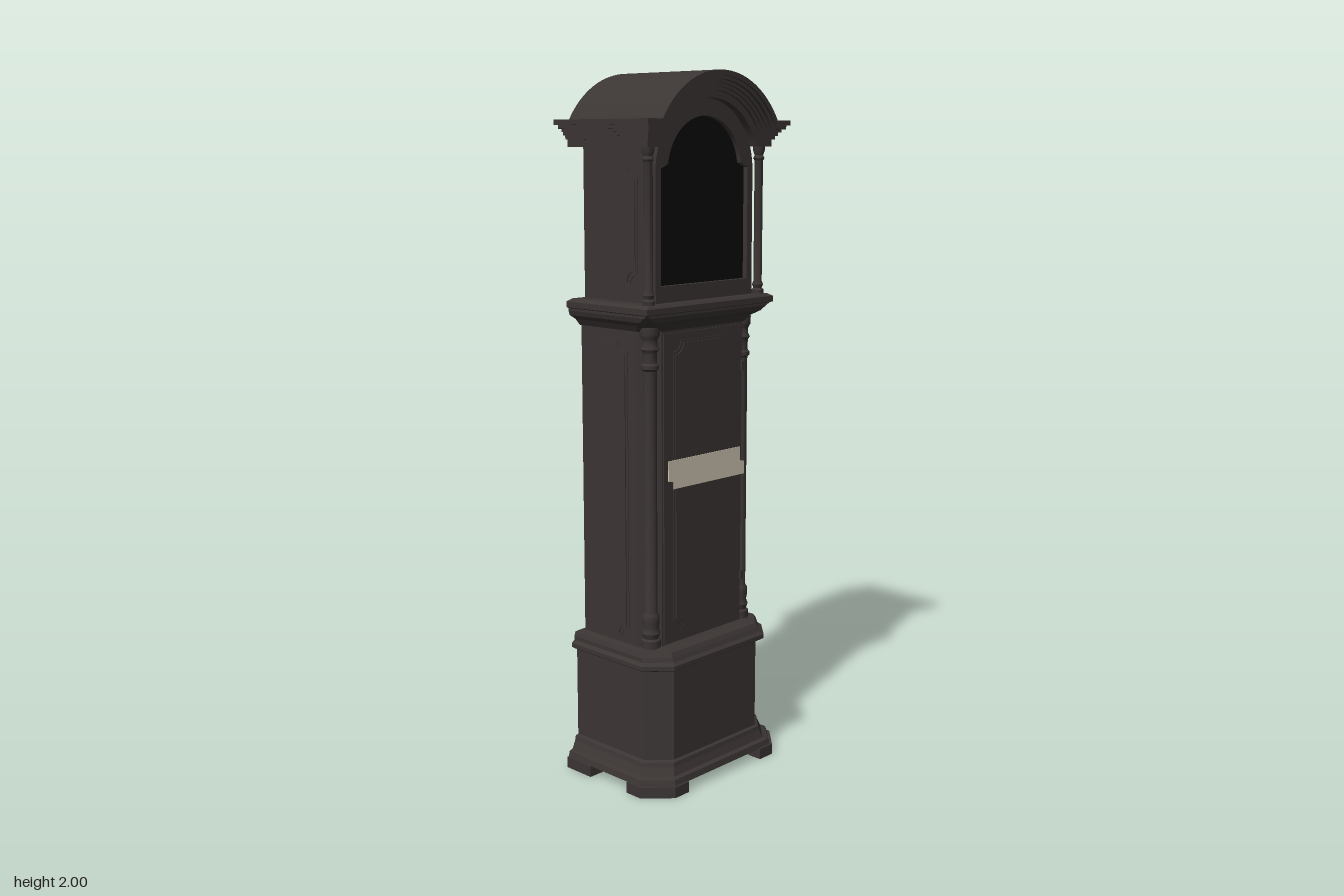
import * as THREE from 'three';
import { toCreasedNormals } from 'three/addons/utils/BufferGeometryUtils.js';

const wood = new THREE.MeshStandardMaterial({ color: 0x3b3534 });
wood.name = 'dark wood';
const glass = new THREE.MeshStandardMaterial({ color: 0x0a0a0a });
glass.name = 'black glass';
const paper = new THREE.MeshStandardMaterial({ color: 0xd2c8b6, side: THREE.DoubleSide });
paper.name = 'cream paper';

const ARCH_Y = 1.733; // centre of every hood arch

export function createModel() {
  const clock = new THREE.Group();
  clock.name = 'longcaseClock';

  function add(name, geo, mat = wood, parent = clock) {
    const mesh = new THREE.Mesh(geo, mat);
    mesh.name = name;
    parent.add(mesh);
    return mesh;
  }
  function box(name, x, y, z, w, h, d) {
    return add(name, new THREE.BoxGeometry(w, h, d).translate(x, y, z));
  }
  const shapeOf = (pts) => new THREE.Shape(pts.map((p) => new THREE.Vector2(p[0], p[1])));
  function extrude(shape, z0, z1) {
    const g = new THREE.ExtrudeGeometry(shape, { depth: z1 - z0, bevelEnabled: false, curveSegments: 12 });
    return toCreasedNormals(g.translate(0, 0, z0), 0.5);
  }

  // Stacked plans with cut front corners: [y, halfWidth, front, back, cornerCut]
  function loft(name, rings) {
    const pos = [];
    const plan = rings.map(([y, w, f, b, c]) => [
      [-w + c, y, f], [w - c, y, f], [w, y, f - c], [w, y, b], [-w, y, b], [-w, y, f - c]]);
    for (let r = 0; r < plan.length - 1; r++) {
      for (let i = 0; i < 6; i++) {
        const j = (i + 1) % 6;
        const [a, b, c, d] = [plan[r][i], plan[r][j], plan[r + 1][j], plan[r + 1][i]];
        pos.push(...a, ...b, ...c, ...a, ...c, ...d);
      }
    }
    const top = plan[plan.length - 1], bot = plan[0];
    for (let i = 1; i < 5; i++) {
      pos.push(...top[0], ...top[i], ...top[i + 1], ...bot[0], ...bot[i + 1], ...bot[i]);
    }
    const g = new THREE.BufferGeometry();
    g.setAttribute('position', new THREE.Float32BufferAttribute(pos, 3));
    g.computeVertexNormals();
    return add(name, g);
  }

  // Points along an arc of the hood, left to right
  function arc(radius, fromY, n = 36) {
    const a = Math.asin((fromY - ARCH_Y) / radius);
    return Array.from({ length: n + 1 }, (_, i) => {
      const t = Math.PI - a - (i / n) * (Math.PI - 2 * a);
      return [radius * Math.cos(t), ARCH_Y + radius * Math.sin(t)];
    });
  }

  // Raised panel with stepped round corners and a smaller field on top
  function panelShape(w, h, r) {
    const s = new THREE.Shape();
    const x = w / 2, y = h / 2;
    s.moveTo(-x + r, -y);
    s.lineTo(x - r, -y);
    s.absarc(x, -y, r, Math.PI, Math.PI / 2, true);
    s.lineTo(x, y - r);
    s.absarc(x, y, r, -Math.PI / 2, -Math.PI, true);
    s.lineTo(-x + r, y);
    s.absarc(-x, y, r, 0, -Math.PI / 2, true);
    s.lineTo(-x, -y + r);
    s.absarc(-x, -y, r, Math.PI / 2, 0, true);
    return s;
  }
  function panel(name, w, h, x, y, z, turn = 0) {
    const g = new THREE.Group();
    g.name = name;
    add('panelEdge', extrude(panelShape(w, h, 0.03), -0.002, 0.003), wood, g);
    add('panelField', extrude(panelShape(w - 0.016, h - 0.016, 0.03), 0, 0.006), wood, g);
    g.position.set(x, y, z);
    g.rotation.y = turn;
    clock.add(g);
  }
  function column(name, profile, x, z) {
    const pts = profile.map(([r, y]) => new THREE.Vector2(r, y));
    add(name, toCreasedNormals(new THREE.LatheGeometry(pts, 16).translate(x, 0, z), 0.6));
  }

  // Bracket feet
  const footPlan = [[0.155, 0.195], [0.21, 0.195], [0.28, 0.125], [0.28, 0.07], [0.235, 0.07], [0.235, 0.1], [0.185, 0.15], [0.155, 0.15]];
  for (const s of [1, -1]) {
    const pts = footPlan.map(([x, z]) => [s * x, -z]);
    const foot = extrude(shapeOf(pts), 0, 0.032);
    add('frontFoot', foot.rotateX(-Math.PI / 2));
    box('backFoot', s * 0.225, 0.016, -0.13, 0.11, 0.032, 0.1);
  }

  // Base with skirting and upper moulding
  loft('skirting', [
    [0.03, 0.274, 0.189, -0.18, 0.069], [0.048, 0.27, 0.185, -0.18, 0.068],
    [0.052, 0.258, 0.173, -0.18, 0.066], [0.075, 0.248, 0.165, -0.18, 0.063],
    [0.088, 0.245, 0.163, -0.18, 0.063], [0.092, 0.235, 0.155, -0.18, 0.06]]);
  loft('base', [[0.09, 0.235, 0.155, -0.18, 0.06], [0.365, 0.235, 0.155, -0.18, 0.06]]);
  loft('baseMoulding', [
    [0.358, 0.242, 0.16, -0.18, 0.062], [0.366, 0.255, 0.173, -0.18, 0.064],
    [0.378, 0.255, 0.173, -0.18, 0.064], [0.386, 0.245, 0.163, -0.18, 0.062],
    [0.398, 0.245, 0.158, -0.18, 0.062], [0.41, 0.24, 0.15, -0.18, 0.06],
    [0.414, 0.222, 0.12, -0.175, 0.055]]);

  // Trunk, its door and panels
  loft('trunk', [[0.41, 0.215, 0.1, -0.165, 0.05], [1.33, 0.215, 0.1, -0.165, 0.05]]);
  box('trunkDoor', 0, 0.86, 0.1, 0.32, 0.88, 0.008);
  panel('trunkDoorPanel', 0.25, 0.83, 0, 0.863, 0.103);
  const trunkColumn = [
    [0, 0.41], [0.028, 0.41], [0.028, 0.435], [0.022, 0.44], [0.027, 0.455], [0.022, 0.468], [0.025, 0.485],
    [0.025, 0.505], [0.019, 0.515], [0.019, 1.2], [0.025, 1.206], [0.025, 1.216], [0.02, 1.222], [0.02, 1.25],
    [0.026, 1.26], [0.021, 1.27], [0.021, 1.285], [0.028, 1.298], [0.028, 1.32], [0, 1.32]];
  for (const s of [1, -1]) {
    column('trunkColumn', trunkColumn, s * 0.187, 0.077);
    panel('trunkSidePanel', 0.147, 0.85, s * 0.214, 0.855, -0.054, s * Math.PI / 2);
  }
  for (const y of [0.555, 0.875, 1.18]) box('trunkDoorHinge', 0.162, y, 0.104, 0.012, 0.028, 0.012);

  // Paper strip across the trunk door, with ragged ends
  const strip = shapeOf([
    [-0.13, 0.865], [0.165, 0.862], [0.165, 0.9], [0.148, 0.902], [0.148, 0.945], [-0.15, 0.947],
    [-0.15, 0.89], [-0.13, 0.885]]);
  add('paperStrip', extrude(strip, 0.11, 0.112), paper);

  // Moulding that carries the hood
  loft('hoodSeat', [
    [1.308, 0.217, 0.105, -0.17, 0.05], [1.325, 0.228, 0.115, -0.175, 0.045],
    [1.337, 0.245, 0.127, -0.18, 0.03], [1.35, 0.25, 0.13, -0.18, 0.015],
    [1.357, 0.25, 0.13, -0.18, 0], [1.36, 0.257, 0.137, -0.18, 0],
    [1.376, 0.257, 0.137, -0.18, 0], [1.384, 0.242, 0.128, -0.172, 0]]);

  // Hood body with arched top
  const bodyShape = shapeOf([[0.2, 1.38], [0.2, 1.8], ...arc(0.21, 1.8).reverse(), [-0.2, 1.8], [-0.2, 1.38]]);
  add('hoodBody', extrude(bodyShape, -0.165, 0.075));

  // Hood door: arched frame around black glass, with shoulders
  const frame = shapeOf([[0.195, 1.385], ...arc(0.195, ARCH_Y).reverse(), [-0.195, 1.385]]);
  const opening = [[0.174, 1.43], [0.174, 1.742], [0.154, 1.75], ...arc(0.148, 1.755).reverse(),
    [-0.154, 1.75], [-0.174, 1.742], [-0.174, 1.43]];
  frame.holes.push(new THREE.Path(opening.map((p) => new THREE.Vector2(p[0], p[1]))));
  add('hoodDoorFrame', extrude(frame, 0.07, 0.108));
  add('hoodGlass', extrude(shapeOf(opening), 0.085, 0.093), glass);

  // Free-standing hood columns and side panels
  const hoodColumn = [
    [0, 1.38], [0.017, 1.38], [0.017, 1.395], [0.012, 1.4], [0.016, 1.41], [0.012, 1.42], [0.012, 1.76],
    [0.016, 1.766], [0.012, 1.775], [0.017, 1.788], [0.017, 1.805], [0, 1.805]];
  for (const s of [1, -1]) {
    column('hoodColumn', hoodColumn, s * 0.222, 0.108);
    panel('hoodSidePanel', 0.174, 0.32, s * 0.199, 1.59, -0.04, s * Math.PI / 2);
  }

  // Arched cornice in stepped bands: [inset, halfWidth, front, back]
  const bands = [
    [0, 0.285, 0.17, -0.19], [0.014, 0.275, 0.163, -0.184], [0.024, 0.266, 0.153, -0.18],
    [0.033, 0.26, 0.146, -0.18], [0.042, 0.254, 0.14, -0.178], [0.052, 0.248, 0.132, -0.176], [0.072]];
  for (let i = 0; i < bands.length - 1; i++) {
    const [d, w, front, back] = bands[i];
    const e = bands[i + 1][0];
    const upper = arc(0.267 - d, 1.87 - d), lower = arc(0.267 - e, 1.87 - e);
    const pts = [[-w, 1.87 - d], ...upper, [w, 1.87 - d], [w, 1.87 - e], ...lower.reverse(), [-w, 1.87 - e]];
    add('cornice', extrude(shapeOf(pts.reverse()), back, front));
  }

  // Back hatch fittings
  for (const y of [1.49, 1.69]) box('backHinge', -0.18, y, -0.168, 0.014, 0.045, 0.012);
  box('backLatch', 0.15, 1.59, -0.167, 0.012, 0.03, 0.008);

  return clock;
}
